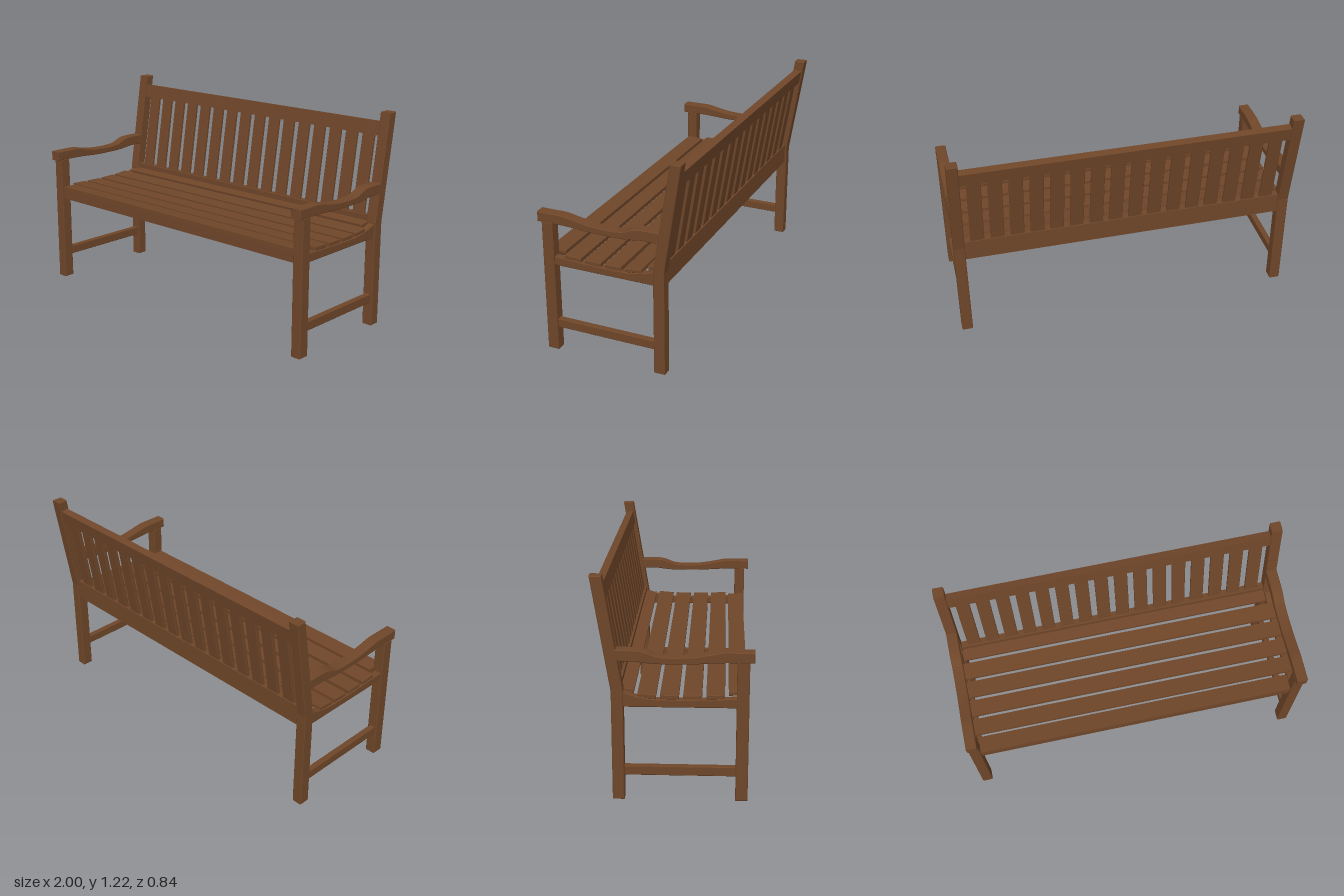
import * as THREE from 'three';

const wood = new THREE.MeshStandardMaterial({ color: 0x6f4629 });
const LEG = 0.063, LEG_X = 1 - LEG / 2, INNER = 1 - LEG;
const TILT = Math.atan2(0.099, 0.615);

export function createModel() {
  const bench = new THREE.Group();
  bench.name = 'gardenBench';

  // Extrudes a (z, y) side profile along x, centred on x, with chamfered edges
  function profile(name, shape, x, width, bevel = 0.004) {
    const geo = new THREE.ExtrudeGeometry(shape, {
      depth: width - 2 * bevel, bevelEnabled: true, bevelSegments: 1,
      bevelSize: bevel, bevelThickness: bevel, bevelOffset: -bevel, curveSegments: 24,
    });
    geo.translate(0, 0, -(width - 2 * bevel) / 2);
    geo.rotateY(-Math.PI / 2);
    const mesh = new THREE.Mesh(geo, wood);
    mesh.name = name;
    mesh.position.x = x;
    bench.add(mesh);
    return mesh;
  }
  const poly = (pts) => new THREE.Shape(pts.map(([z, y]) => new THREE.Vector2(z, y)));

  // Straight board of given size, leaning back by tilt
  function board(name, w, h, d, x, y, z, tilt = 0) {
    const shape = poly([[-d / 2, -h / 2], [d / 2, -h / 2], [d / 2, h / 2], [-d / 2, h / 2]]);
    const mesh = profile(name, shape, x, w, 0.003);
    mesh.position.set(x, y, z);
    mesh.rotation.x = tilt;
    return mesh;
  }

  const frontLeg = poly([[0.33, 0], [0.395, 0], [0.395, 0.775], [0.33, 0.775]]);
  const backLeg = poly([[-0.32, 0], [-0.257, 0], [-0.257, 0.61], [-0.356, 1.222], [-0.418, 1.222], [-0.32, 0.61]]);

  // Armrest: two wavy edges, upper and lower
  const v = (pts) => pts.map(([z, y]) => new THREE.Vector2(z, y));
  const arm = new THREE.Shape();
  arm.moveTo(-0.29, 0.775);
  arm.splineThru(v([[-0.2, 0.774], [-0.14, 0.767], [-0.07, 0.762], [0.08, 0.762], [0.19, 0.768], [0.27, 0.772], [0.34, 0.772], [0.42, 0.772]]));
  arm.lineTo(0.42, 0.829);
  arm.splineThru(v([[0.34, 0.829], [0.26, 0.828], [0.19, 0.815], [0.1, 0.801], [0, 0.797], [-0.08, 0.803], [-0.14, 0.825], [-0.19, 0.834], [-0.296, 0.835]]));

  // Seat side rail with a dished top
  const rail = new THREE.Shape();
  rail.moveTo(-0.265, 0.522);
  rail.lineTo(0.335, 0.522);
  rail.lineTo(0.335, 0.575);
  rail.splineThru(v([[0.2, 0.569], [0.04, 0.565], [-0.1, 0.567], [-0.19, 0.582], [-0.265, 0.606]]));

  for (const [side, s] of [['left', 1], ['right', -1]]) {
    profile(side + 'FrontLeg', frontLeg, s * LEG_X, LEG);
    profile(side + 'BackLeg', backLeg, s * LEG_X, LEG);
    profile(side + 'Armrest', arm, s * LEG_X, LEG);
    profile(side + 'SeatRail', rail, s * LEG_X, 0.04);
    board(side + 'Stretcher', 0.035, 0.052, 0.6, s * LEG_X, 0.162, 0.035);
  }

  // Long rails between the legs
  const span = 2 * INNER + 0.01;
  board('frontRail', span, 0.06, 0.04, 0, 0.552, 0.362);
  board('lowerBackRail', span, 0.12, 0.04, 0, 0.582, -0.291);
  board('upperBackRail', span, 0.08, 0.045, 0, 1.124, -0.372, -TILT);

  // Seat slats following the dished rails; the end slats fit between the legs
  const slats = [[0.337, 0.587, -0.06], [0.221, 0.581, -0.04], [0.102, 0.577, -0.02],
    [-0.018, 0.577, 0.02], [-0.136, 0.582, 0.08], [-0.246, 0.597, 0.12]];
  slats.forEach(([z, y, tilt], i) => {
    const outer = i === 0 || i === slats.length - 1;
    board('seatSlat' + (i + 1), outer ? span : 1.97, 0.023, i === 5 ? 0.085 : 0.097, 0, y, z, tilt);
  });

  // Upright back slats
  for (let i = 0; i < 16; i++) {
    board('backSlat' + (i + 1), 0.078, 0.49, 0.02, -0.86 + i * 0.1147, 0.855, -0.328, -TILT);
  }
  return bench;
}
